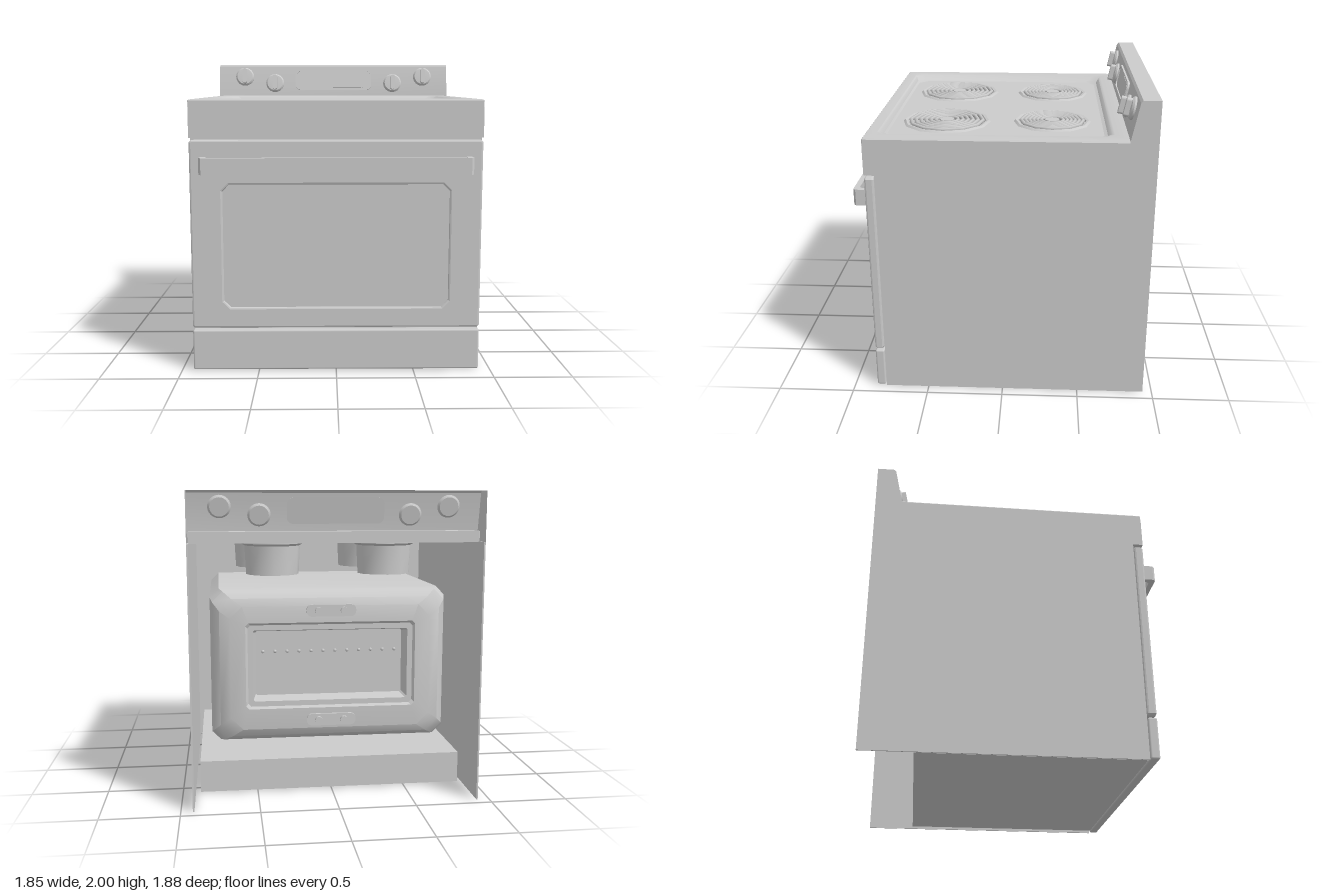
import * as THREE from 'three';
import { toCreasedNormals } from 'three/addons/utils/BufferGeometryUtils.js';
import { RoundedBoxGeometry } from 'three/addons/geometries/RoundedBoxGeometry.js';

const material = new THREE.MeshStandardMaterial({ color: 0xcccccc, side: THREE.DoubleSide });

function add(parent, name, geometry, x = 0, y = 0, z = 0) {
  const mesh = new THREE.Mesh(geometry, material);
  mesh.name = name;
  mesh.position.set(x, y, z);
  parent.add(mesh);
  return mesh;
}

// Box given by its min and max corners, with optional rounded edges
function block(parent, name, [x0, y0, z0], [x1, y1, z1], radius = 0) {
  const size = [x1 - x0, y1 - y0, z1 - z0];
  const geometry = radius ? new RoundedBoxGeometry(...size, 2, radius) : new THREE.BoxGeometry(...size);
  return add(parent, name, geometry, (x0 + x1) / 2, (y0 + y1) / 2, (z0 + z1) / 2);
}

// Rectangle with cut corners, eight points counter-clockwise
function cutRect(hx, lo, hi, c) {
  return [[-hx + c, lo], [hx - c, lo], [hx, lo + c], [hx, hi - c],
    [hx - c, hi], [-hx + c, hi], [-hx, hi - c], [-hx, lo + c]].map(p => new THREE.Vector2(...p));
}

// Skin through cut rectangles [halfWidth, low, high, cut, level]
function loft(rings, crease, capEnd = false) {
  const loops = rings.map(([hx, lo, hi, c, t]) => cutRect(hx, lo, hi, c).map(p => new THREE.Vector3(p.x, p.y, t)));
  const points = [];
  for (let i = 0; i + 1 < loops.length; i++) {
    for (let j = 0; j < 8; j++) {
      const k = (j + 1) % 8;
      const [a, b, c, d] = [loops[i][j], loops[i][k], loops[i + 1][k], loops[i + 1][j]];
      points.push(a, b, c, a, c, d);
    }
  }
  if (capEnd) {
    const end = loops[loops.length - 1];
    for (let j = 1; j < 7; j++) points.push(end[0], end[j], end[j + 1]);
  }
  return toCreasedNormals(new THREE.BufferGeometry().setFromPoints(points), crease);
}

function extrude(shape, depth, bevel = 0) {
  return new THREE.ExtrudeGeometry(shape, {
    depth, bevelEnabled: bevel > 0, bevelSize: bevel, bevelThickness: bevel, bevelSegments: 2, curveSegments: 8,
  });
}

function roundedRect(w, h, r) {
  const s = new THREE.Shape();
  s.absarc(w / 2 - r, h / 2 - r, r, 0, Math.PI / 2);
  s.absarc(-w / 2 + r, h / 2 - r, r, Math.PI / 2, Math.PI);
  s.absarc(-w / 2 + r, -h / 2 + r, r, Math.PI, Math.PI * 1.5);
  s.absarc(w / 2 - r, -h / 2 + r, r, Math.PI * 1.5, Math.PI * 2);
  return s;
}

function group(parent, name) {
  const g = new THREE.Group();
  g.name = name;
  parent.add(g);
  return g;
}

function buildBody(root) {
  const body = group(root, 'body');
  for (const s of [-1, 1]) block(body, 'sidePanel', [s * 0.92 - 0.005, 0, -0.94], [s * 0.92 + 0.005, 1.68, 0.785]);
  block(body, 'frontFrame', [-0.915, 0.02, 0.765], [0.915, 1.66, 0.785]);
  block(body, 'frontFascia', [-0.925, 1.51, 0.785], [0.925, 1.7, 0.85]);
  block(body, 'drawerFront', [-0.925, 0.005, 0.79], [0.925, 0.27, 0.85], 0.012);
  block(body, 'drawerBox', [-0.88, 0.01, -0.61], [0.88, 0.22, 0.785]);
}

function buildDoor(root) {
  const door = group(root, 'ovenDoor');
  const b = 0.012;
  const frame = new THREE.Shape(cutRect(0.925 - b, 0.285 + b, 1.495 - b, 0.005));
  frame.holes.push(new THREE.Path(cutRect(0.72 + b, 0.42 - b, 1.215 + b, 0.05).reverse()));
  add(door, 'doorFrame', extrude(frame, 0.06 - 2 * b, b), 0, 0, 0.79 + b);
  block(door, 'doorWindow', [-0.73, 0.41, 0.795], [0.73, 1.225, 0.836]);

  // Bent bar handle, drawn in plan
  const bar = new THREE.Shape([[-0.855, 0.84], [-0.855, 0.925], [-0.84, 0.94], [0.84, 0.94], [0.855, 0.925], [0.855, 0.84],
    [0.82, 0.84], [0.82, 0.89], [0.805, 0.905], [-0.805, 0.905], [-0.82, 0.89], [-0.82, 0.84]].map(p => new THREE.Vector2(...p)));
  add(door, 'doorHandle', extrude(bar, 0.105), 0, 1.39, 0).rotation.x = Math.PI / 2;
}

function buildCooktop(root) {
  const top = group(root, 'cooktop');
  const floorY = 1.712;
  const burners = [[-0.4, -0.31, 0.23], [0.37, -0.305, 0.23], [-0.4, 0.385, 0.265], [0.39, 0.39, 0.265]];

  // Raised rim around a sunken tray
  const rim = loft([
    [0.925, -0.82, 0.85, 0.004, 1.675], [0.925, -0.82, 0.85, 0.004, 1.74], [0.918, -0.82, 0.843, 0.004, 1.748],
    [0.835, -0.685, 0.775, 0.04, 1.752], [0.815, -0.67, 0.765, 0.05, 1.745],
    [0.785, -0.65, 0.75, 0.06, 1.72], [0.755, -0.63, 0.735, 0.07, floorY],
  ], 0.5);
  // Swap axes so the loft level becomes height
  rim.applyMatrix4(new THREE.Matrix4().set(1, 0, 0, 0, 0, 0, 1, 0, 0, 1, 0, 0, 0, 0, 0, 1));
  rim.setIndex([...Array(rim.attributes.position.count).keys()].map(i => i - (i % 3) + 2 - (i % 3)));
  add(top, 'cooktopRim', rim);

  const floor = new THREE.Shape(cutRect(0.755, -0.735, 0.63, 0.07));
  for (const [x, z, r] of burners) floor.holes.push(new THREE.Path().absarc(x, -z, r + 0.01, 0, Math.PI * 2, true));
  add(top, 'cooktopTray', new THREE.ShapeGeometry(floor, 12), 0, floorY, 0).rotation.x = -Math.PI / 2;

  for (const [x, z, r] of burners) {
    const burner = group(top, 'burner');
    burner.position.set(x, floorY, z);
    // Drip bowl hanging below the tray
    const profile = [[r + 0.025, 0], [r + 0.012, 0.012], [r - 0.005, 0.008], [r - 0.012, -0.02], [r - 0.012, -0.06],
      [r - 0.04, -0.075], [r - 0.05, -0.27], [0, -0.28]].map(p => new THREE.Vector2(...p));
    add(burner, 'dripBowl', toCreasedNormals(new THREE.LatheGeometry(profile, 12), 0.6));
    add(burner, 'burnerCap', new THREE.CylinderGeometry(0.048, 0.048, 0.02, 12), 0, 0.005, 0);
    const coils = 6;
    for (let i = 0; i < coils; i++) {
      const radius = 0.075 + (r - 0.1) * i / (coils - 1);
      const coil = add(burner, 'heatingCoil', new THREE.TorusGeometry(radius, 0.0125, 6, 12), 0, 0.008, 0);
      coil.rotation.x = Math.PI / 2;
    }
    block(burner, 'coilSupport', [-r + 0.01, -0.02, -0.008], [r - 0.01, -0.004, 0.008]);
    block(burner, 'coilSupport', [-0.008, -0.02, -r + 0.01], [0.008, -0.004, r - 0.01]);
  }
}

function buildBacksplash(root) {
  const splash = group(root, 'backsplash');
  // Open-backed shell: front and top sheet between two end caps
  const profile = [[-0.768, 1.68], [-0.768, 1.75], [-0.817, 1.985], [-0.83, 2], [-0.94, 2]];
  const points = [];
  for (let i = 0; i + 1 < profile.length; i++) {
    const [[z0, y0], [z1, y1]] = [profile[i], profile[i + 1]];
    const p = (x, y, z) => new THREE.Vector3(x, y, z);
    points.push(p(-0.925, y0, z0), p(0.925, y0, z0), p(0.925, y1, z1), p(-0.925, y0, z0), p(0.925, y1, z1), p(-0.925, y1, z1));
  }
  add(splash, 'panelShell', toCreasedNormals(new THREE.BufferGeometry().setFromPoints(points), 0.3));
  const cap = new THREE.Shape([...profile, [-0.94, 1.68]].map(([z, y]) => new THREE.Vector2(-z, y)));
  for (const s of [-1, 1]) add(splash, 'endCap', new THREE.ShapeGeometry(cap), s * 0.925, 0, 0).rotation.y = Math.PI / 2;

  // Controls lie on the tilted front face
  const controls = group(splash, 'controls');
  controls.position.set(0, 1.875, -0.794);
  controls.rotation.x = -0.206;
  const bezel = roundedRect(0.615, 0.165, 0.04);
  bezel.holes.push(roundedRect(0.59, 0.14, 0.03));
  add(controls, 'displayBezel', extrude(bezel, 0.016), 0, 0, -0.002);
  add(controls, 'displayPlate', extrude(roundedRect(0.6, 0.15, 0.03), 0.008), 0, 0, -0.002);
  add(controls, 'displayScreen', extrude(roundedRect(0.28, 0.125, 0.03), 0.005), 0.11, -0.002, 0.005);
  for (const [x, y] of [[-0.72, 0.027], [-0.475, -0.025], [0.48, -0.025], [0.725, 0.027]]) {
    const knob = group(controls, 'knob');
    knob.position.set(x, y, 0);
    const dial = [[0, -0.012], [0.06, -0.012], [0.073, 0], [0.073, 0.012], [0.062, 0.024], [0, 0.028]];
    const disc = new THREE.LatheGeometry(dial.map(p => new THREE.Vector2(...p)), 24);
    add(knob, 'knobDisc', toCreasedNormals(disc, 0.5)).rotation.x = Math.PI / 2;
    add(knob, 'knobGrip', extrude(roundedRect(0.036, 0.118, 0.017), 0.036), 0, 0, 0.022);
  }
}

function buildOvenCavity(root) {
  const cavity = group(root, 'ovenCavity');
  // Box rounded towards the back, with a sunken rear window
  add(cavity, 'cavityShell', loft([
    [0.8, 0.32, 1.36, 0.06, 0.77], [0.8, 0.32, 1.36, 0.06, -0.44], [0.785, 0.335, 1.345, 0.07, -0.5],
    [0.74, 0.37, 1.3, 0.08, -0.55], [0.67, 0.42, 1.25, 0.08, -0.58], [0.57, 0.56, 1.14, 0.02, -0.585],
    [0.555, 0.575, 1.125, 0.02, -0.57], [0.52, 0.61, 1.09, 0.01, -0.57], [0.5, 0.63, 1.07, 0.01, -0.47],
  ], 0.5, true));
  for (let i = 0; i < 12; i++) {
    add(cavity, 'rivet', new THREE.SphereGeometry(0.012, 6, 4), -0.45 + i * 0.9 / 11, 0.93, -0.472);
  }
  for (const y of [1.22, 0.48]) {
    const bracket = group(cavity, 'bracket');
    bracket.position.set(0, y, -0.6);
    add(bracket, 'bracketPlate', extrude(roundedRect(0.33, 0.08, 0.035), 0.025));
    for (const s of [-1, 1]) {
      add(bracket, 'bracketScrew', new THREE.CylinderGeometry(0.025, 0.025, 0.03, 12), s * 0.085, 0, -0.01).rotation.x = Math.PI / 2;
    }
  }
}

export function createModel() {
  const root = new THREE.Group();
  root.name = 'electricRange';
  [buildBody, buildDoor, buildCooktop, buildBacksplash, buildOvenCavity].forEach(build => build(root));
  return root;
}
